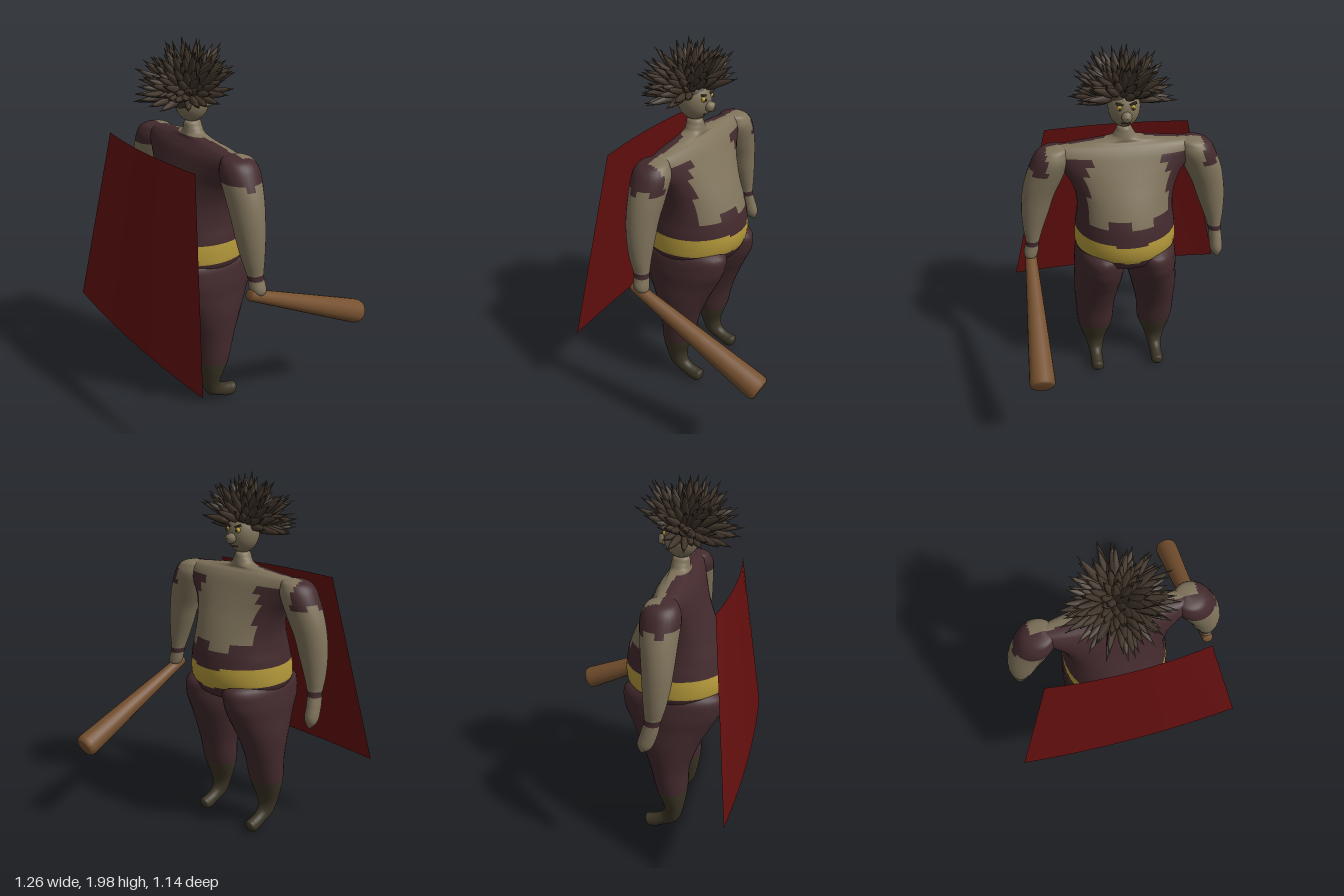
import * as THREE from 'three';
import { mergeGeometries } from 'three/addons/utils/BufferGeometryUtils.js';

const mat = (name, color, side = THREE.FrontSide) => {
  const m = new THREE.MeshStandardMaterial({ color, side });
  m.name = name;
  return m;
};

export function createModel() {
  const model = new THREE.Group();
  const skin = mat('skin', 0x7f735b);
  const cloth = mat('maroon cloth', 0x432a2d);
  const gold = mat('gold', 0xb3983a);
  const boot = mat('dark boot', 0x3b3425);
  const hairMat = mat('dark hair', 0x41352a);
  const wood = mat('wood', 0x75502f);
  const red = mat('red cape', 0x650f0f, THREE.DoubleSide);
  const palette = [skin, cloth, gold, boot];
  const SKIN = 0, CLOTH = 1, GOLD = 2, BOOT = 3;

  const add = (name, geometry, material, pos = [0, 0, 0], parent = model) => {
    const mesh = new THREE.Mesh(geometry, material);
    mesh.name = name;
    mesh.position.set(...pos);
    parent.add(mesh);
    return mesh;
  };

  // Smooth loft through oval sections [x, y, z, rx, rz, tilt], listed top to bottom;
  // rule(x, y, z) picks the palette entry of each quad.
  function loft(sections, around, steps, rule) {
    const curve = (k) => new THREE.CatmullRomCurve3(
      sections.map((s) => new THREE.Vector3(s[k], s[k + 1], s[k + 2] || 0)), false, 'catmullrom', 0.5);
    const centres = curve(0), sizes = curve(3);
    const pos = [];
    for (let i = 0; i <= steps; i++) {
      const c = centres.getPoint(i / steps), r = sizes.getPoint(i / steps);
      for (let j = 0; j < around; j++) {
        const a = (j / around) * Math.PI * 2;
        const dx = Math.max(0, r.x) * Math.cos(a), dz = Math.max(0, r.y) * Math.sin(a);
        pos.push(c.x + dx, c.y - dz * Math.sin(r.z), c.z + dz * Math.cos(r.z));
      }
    }
    const faces = palette.map(() => []);
    for (let i = 0; i < steps; i++) {
      for (let j = 0; j < around; j++) {
        const k = (j + 1) % around;
        const quad = [i * around + j, i * around + k, (i + 1) * around + j, (i + 1) * around + k];
        const mid = [0, 1, 2].map((n) => quad.reduce((sum, q) => sum + pos[q * 3 + n], 0) / 4);
        faces[rule(...mid)].push(quad[0], quad[1], quad[2], quad[1], quad[3], quad[2]);
      }
    }
    const g = new THREE.BufferGeometry();
    g.setAttribute('position', new THREE.Float32BufferAttribute(pos, 3));
    g.setIndex(faces.flat());
    let start = 0;
    faces.forEach((f, m) => {
      if (f.length) g.addGroup(start, f.length, m);
      start += f.length;
    });
    g.computeVertexNormals();
    return g;
  }

  // Torso with neck: rows of [y, half width, front z, back z]
  const torsoRows = [
    [1.585, 0, 0.17, 0.17], [1.57, 0.033, 0.13, 0.21], [1.54, 0.05, 0.12, 0.215], [1.51, 0.085, 0.115, 0.22],
    [1.493, 0.24, 0.115, 0.225], [1.475, 0.38, 0.095, 0.24], [1.44, 0.405, 0.07, 0.265], [1.38, 0.36, 0.04, 0.29],
    [1.3, 0.3, 0, 0.32], [1.2, 0.265, -0.05, 0.365], [1.1, 0.262, -0.09, 0.41], [1.03, 0.272, -0.105, 0.43],
    [0.95, 0.28, -0.112, 0.45], [0.88, 0.275, -0.095, 0.44], [0.82, 0.23, -0.05, 0.39], [0.76, 0.08, 0.1, 0.26],
    [0.74, 0, 0.18, 0.18],
  ];
  const torsoRule = (x, y, z) => {
    const dip = z < 0.05 ? 0.03 * Math.max(0, 1 - Math.abs(x) / 0.15) : 0;
    if (y > 1.505) return SKIN;
    if (y < 0.905 - dip) return CLOTH;
    if (y < 1.01 - dip) return GOLD;
    if (y < 1.11 + 0.025 * Math.sign(Math.sin(x * 25))) return CLOTH;
    if (y > 1.43) return z < 0.165 && Math.abs(x) < 0.41 ? SKIN : CLOTH;
    return z < 0.01 + (y - 1.12) * 0.2 ? SKIN : CLOTH;
  };
  add('torso', loft(torsoRows.map(([y, w, f, b]) => [0, y, (f + b) / 2, w, (b - f) / 2, 0]),
    40, 96, torsoRule), palette);

  // Legs with boots, and arms with short sleeves and wristbands
  for (const s of [1, -1]) {
    const side = s > 0 ? 'left' : 'right';
    const leg = [
      [0.13, 0.95, 0.17, 0, 0, 0], [0.135, 0.9, 0.17, 0.12, 0.24, 0], [0.145, 0.8, 0.17, 0.14, 0.26, 0],
      [0.15, 0.7, 0.168, 0.14, 0.217, 0], [0.165, 0.6, 0.165, 0.132, 0.165, 0], [0.178, 0.45, 0.17, 0.113, 0.11, 0],
      [0.18, 0.3, 0.185, 0.102, 0.087, 0], [0.184, 0.17, 0.197, 0.063, 0.055, 0.1],
      [0.184, 0.1, 0.178, 0.045, 0.048, 0.6], [0.184, 0.066, 0.13, 0.036, 0.038, 1.1],
      [0.184, 0.046, 0.08, 0.036, 0.04, 1.25], [0.184, 0.043, 0.045, 0.033, 0.034, 1.3],
      [0.184, 0.042, 0.028, 0, 0, 1.35],
    ].map(([x, ...rest]) => [x * s, ...rest]);
    add(side + 'Leg', loft(leg, 28, 72, (x, y) => (y < 0.29 ? BOOT : y > 0.91 ? GOLD : CLOTH)), palette);

    // The left hand closes on the club; the right one hangs open
    const hand = s > 0
      ? [[0.527, 0.86, 0.155, 0.04, 0.042, 0], [0.53, 0.83, 0.15, 0.03, 0.032, 0], [0.53, 0.815, 0.15, 0, 0, 0]]
      : [[0.522, 0.85, 0.145, 0.036, 0.042, 0.15], [0.526, 0.78, 0.122, 0.033, 0.036, 0.3],
        [0.528, 0.735, 0.105, 0, 0, 0.3]];
    const arm = [
      [0.35, 1.488, 0.165, 0, 0, 0], [0.36, 1.475, 0.165, 0.06, 0.06, 0], [0.375, 1.45, 0.165, 0.085, 0.085, 0],
      [0.39, 1.4, 0.165, 0.1, 0.098, 0], [0.43, 1.3, 0.168, 0.1, 0.09, 0], [0.465, 1.2, 0.172, 0.087, 0.08, 0],
      [0.487, 1.1, 0.172, 0.074, 0.07, 0], [0.505, 1, 0.168, 0.054, 0.056, 0],
      [0.514, 0.92, 0.16, 0.037, 0.042, 0], ...hand,
    ].map(([x, ...rest]) => [x * s, ...rest]);
    const armRule = (x, y, z) => {
      if (y > 0.905 && y < 0.932) return CLOTH;
      const hem = 1.36 + 0.02 * Math.sign(Math.sin(z * 60));
      return y > hem && (Math.abs(x) > 0.41 || z > 0.165) ? CLOTH : SKIN;
    };
    add(side + 'Arm', loft(arm, 28, 80, armRule), palette);
  }

  // Head and face (the face looks towards -z)
  const head = new THREE.Group();
  head.name = 'head';
  model.add(head);
  add('skull', new THREE.SphereGeometry(1, 28, 20), skin, [0, 1.675, 0.17], head).scale.set(0.083, 0.107, 0.09);
  const nose = add('nose', new THREE.LatheGeometry([[0, 0], [0.024, 0], [0.027, 0.02], [0.024, 0.043], [0, 0.05]]
    .map(([x, y]) => new THREE.Vector2(x, y)), 16), skin, [0, 1.652, 0.1], head);
  nose.rotation.x = -Math.PI / 2;
  for (const s of [1, -1]) {
    add('eye', new THREE.SphereGeometry(0.014, 12, 8), gold, [s * 0.034, 1.695, 0.093], head);
    add('pupil', new THREE.SphereGeometry(0.006, 8, 6), hairMat, [s * 0.034, 1.694, 0.08], head);
    const brow = add('brow', new THREE.BoxGeometry(0.038, 0.009, 0.012), hairMat, [s * 0.034, 1.716, 0.09], head);
    brow.rotation.z = s * 0.3;
  }
  add('mouth', new THREE.BoxGeometry(0.045, 0.007, 0.009), hairMat, [0, 1.611, 0.101], head);

  // Hair: scalp cap and a burst of spikes that leaves the face free
  const cap = add('scalp', new THREE.SphereGeometry(1, 24, 10, 0, Math.PI * 2, 0, 1.5), hairMat,
    [0, 1.685, 0.176], head);
  cap.scale.set(0.09, 0.108, 0.095);
  cap.rotation.x = 0.5;
  let seed = 7;
  const rand = () => (seed = (seed * 16807) % 2147483647) / 2147483647;
  const profile = [[0, 0], [0.019, 0.25], [0.021, 0.4], [0.014, 0.68], [0, 1]].map(([x, y]) => new THREE.Vector2(x, y));
  const spikes = [], up = new THREE.Vector3(0, 1, 0), count = 250;
  for (let i = 0; i < count; i++) {
    const y = 1 - (2 * (i + 0.5)) / count, a = i * 2.39996, r = Math.sqrt(1 - y * y);
    const dir = new THREE.Vector3(r * Math.cos(a), y, r * Math.sin(a));
    if (y < -0.14 + 0.62 * Math.max(0, -dir.z)) continue;
    dir.add(new THREE.Vector3(rand() - 0.5, rand() - 0.5, rand() - 0.5).multiplyScalar(0.16)).normalize();
    const length = 0.155 + 0.085 * rand();
    const spike = new THREE.LatheGeometry(profile, 7);
    spike.scale(1, length, 1);
    spike.applyQuaternion(new THREE.Quaternion().setFromUnitVectors(up, dir));
    spike.translate(dir.x * 0.05, 1.707 + dir.y * 0.06, 0.19 + dir.z * 0.05);
    spikes.push(spike);
  }
  add('hairSpikes', mergeGeometries(spikes), hairMat, [0, 0, 0], head);

  // Cape: a flared sheet bowed backwards
  const capeGeo = new THREE.PlaneGeometry(2, 1, 12, 4);
  const p = capeGeo.attributes.position;
  for (let i = 0; i < p.count; i++) {
    const u = p.getX(i), v = 0.5 - p.getY(i);
    p.setXYZ(i, u * (0.4 + 0.23 * v), 1.455 - 1.01 * v, 0.45 + 0.125 * v - 0.028 * u * u);
  }
  capeGeo.computeVertexNormals();
  add('cape', capeGeo, red);

  // Club held in the left hand, pointing forwards and down
  const from = new THREE.Vector3(0.53, 0.84, 0.21), to = new THREE.Vector3(0.53, 0.497, -0.545);
  const len = from.distanceTo(to);
  const club = add('club', new THREE.LatheGeometry([[0, 0], [0.024, 0], [0.03, 0.012], [0.036, 0.15], [0.05, 0.45],
    [0.066, len - 0.03], [0.062, len - 0.008], [0.05, len], [0, len]].map(([x, y]) => new THREE.Vector2(x, y)), 20),
    wood, from.toArray());
  club.quaternion.setFromUnitVectors(up, to.clone().sub(from).normalize());

  return model;
}
